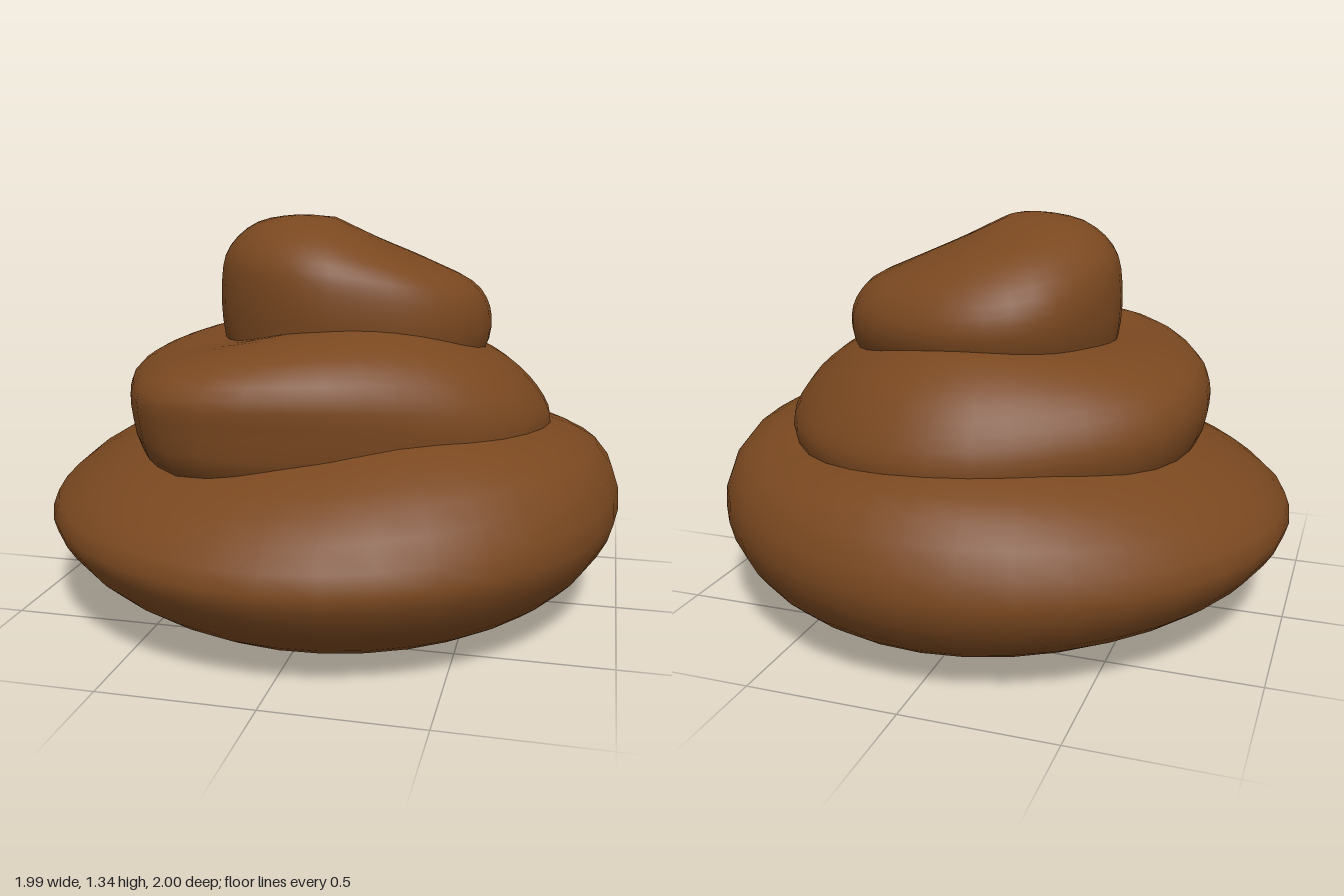
import * as THREE from 'three';

const SEGMENTS = 36, RINGS = 22;

// Smooth value at turn t (0..1) from samples spaced evenly around a circle
function around(samples, t) {
  const n = samples.length, i = Math.floor(t * n), f = t * n - i;
  const [a, b, c, d] = [-1, 0, 1, 2].map(k => samples[(i + k + n) % n]);
  return b + 0.5 * f * (c - a + f * (2 * a - 5 * b + 4 * c - d + f * (3 * (b - c) + d - a)));
}

// A closed lump. radii: outline from +x towards +z. profiles: [radius fraction, height]
// from top pole to bottom pole, facing +x, +z, -x and -z. lift: raises the upper surface.
function lump({ radii, profiles, lift = [0], liftFrom = 0 }) {
  const positions = [], index = [];
  const columns = [];
  for (let s = 0; s < SEGMENTS; s++) {
    const t = s / SEGMENTS, r = around(radii, t);
    const curve = new THREE.CatmullRomCurve3(profiles[0].map((_, k) => new THREE.Vector3(
      r * around(profiles.map(p => p[k][0]), t),
      around(profiles.map(p => p[k][1]), t), 0)));
    columns.push(curve.getPoints(RINGS));
  }
  positions.push(0, columns[0][0].y, 0);
  for (let k = 1; k < RINGS; k++) {
    for (let s = 0; s < SEGMENTS; s++) {
      const t = s / SEGMENTS, a = t * Math.PI * 2, p = columns[s][k];
      const up = around(lift, t) * THREE.MathUtils.clamp((p.y - liftFrom) / 0.25, 0, 1);
      positions.push(p.x * Math.cos(a), p.y + up, p.x * Math.sin(a));
    }
  }
  positions.push(0, columns[0][RINGS].y, 0);
  const last = positions.length / 3 - 1;
  const at = (k, s) => 1 + (k - 1) * SEGMENTS + (s % SEGMENTS);
  for (let s = 0; s < SEGMENTS; s++) {
    index.push(0, at(1, s + 1), at(1, s));
    for (let k = 1; k < RINGS - 1; k++) {
      const a = at(k, s), b = at(k, s + 1), c = at(k + 1, s), d = at(k + 1, s + 1);
      index.push(a, b, c, b, d, c);
    }
    index.push(last, at(RINGS - 1, s), at(RINGS - 1, s + 1));
  }
  const geometry = new THREE.BufferGeometry();
  geometry.setAttribute('position', new THREE.Float32BufferAttribute(positions, 3));
  geometry.setIndex(index);
  geometry.computeVertexNormals();
  return geometry;
}

// Wide bottom coil, undercut on the -x side
const bottomCoil = {
  radii: [0.99, 0.99, 1, 0.99, 1, 0.99, 1, 0.99],
  lift: [0, 0.04, 0, -0.02, 0, 0, 0, -0.05],
  liftFrom: 0.4,
  profiles: [
    [[0, 0.7], [0.5, 0.69], [0.74, 0.66], [0.94, 0.56], [1, 0.38], [0.94, 0.23], [0.83, 0.12], [0.7, 0.06], [0.4, 0.03], [0, 0.005]],
    [[0, 0.7], [0.5, 0.67], [0.7, 0.61], [0.88, 0.51], [1, 0.36], [0.95, 0.24], [0.84, 0.13], [0.68, 0.05], [0.4, 0.02], [0, 0.005]],
    [[0, 0.7], [0.5, 0.67], [0.67, 0.61], [0.9, 0.48], [1, 0.36], [0.95, 0.25], [0.82, 0.15], [0.6, 0.09], [0.38, 0.04], [0, 0.005]],
    [[0, 0.7], [0.5, 0.69], [0.75, 0.66], [0.91, 0.57], [1, 0.38], [0.95, 0.23], [0.83, 0.12], [0.7, 0.06], [0.4, 0.03], [0, 0.005]],
  ],
};

// Middle coil, with a blunt bulge at the front right
const middleCoil = {
  radii: [0.75, 0.72, 0.65, 0.68, 0.79, 0.72, 0.71, 0.73, 0.71, 0.76, 0.76, 0.745],
  lift: [0, 0.03, 0, -0.03, 0, 0, 0, -0.02],
  liftFrom: 0.7,
  profiles: [
    [[0, 1], [0.5, 0.96], [0.68, 0.91], [0.82, 0.85], [0.94, 0.76], [1, 0.66], [0.93, 0.54], [0.6, 0.47], [0, 0.45]],
    [[0, 1], [0.5, 1], [0.7, 0.98], [0.89, 0.93], [1, 0.84], [0.99, 0.72], [0.94, 0.57], [0.6, 0.47], [0, 0.45]],
    [[0, 1], [0.56, 0.935], [0.72, 0.915], [0.86, 0.88], [0.97, 0.82], [1, 0.72], [0.92, 0.57], [0.6, 0.47], [0, 0.45]],
    [[0, 1], [0.55, 0.98], [0.68, 0.96], [0.84, 0.88], [0.95, 0.77], [1, 0.66], [0.93, 0.54], [0.6, 0.47], [0, 0.45]],
  ],
};

// Top lump, sloping down towards +x and the back
const topLump = {
  radii: [0.53, 0.47, 0.4, 0.39, 0.38, 0.39, 0.4, 0.41, 0.46, 0.48, 0.49, 0.53],
  profiles: [
    [[0, 1.335], [0.3, 1.26], [0.65, 1.18], [0.91, 1.11], [1, 1.02], [0.98, 0.9], [0.84, 0.83], [0, 0.8]],
    [[0, 1.335], [0.35, 1.335], [0.75, 1.28], [0.95, 1.2], [1, 1.11], [0.98, 0.98], [0.9, 0.88], [0, 0.8]],
    [[0, 1.335], [0.35, 1.34], [0.7, 1.31], [0.94, 1.22], [1, 1.11], [0.98, 0.95], [0.9, 0.87], [0, 0.8]],
    [[0, 1.335], [0.3, 1.29], [0.68, 1.22], [0.92, 1.12], [1, 1.02], [0.92, 0.92], [0.75, 0.87], [0, 0.8]],
  ],
};

export function createModel() {
  const group = new THREE.Group();
  group.name = 'coiledPile';
  const material = new THREE.MeshStandardMaterial({ color: 0x7a4820 });
  for (const [name, shape] of Object.entries({ bottomCoil, middleCoil, topLump })) {
    const mesh = new THREE.Mesh(lump(shape), material);
    mesh.name = name;
    group.add(mesh);
  }
  return group;
}
